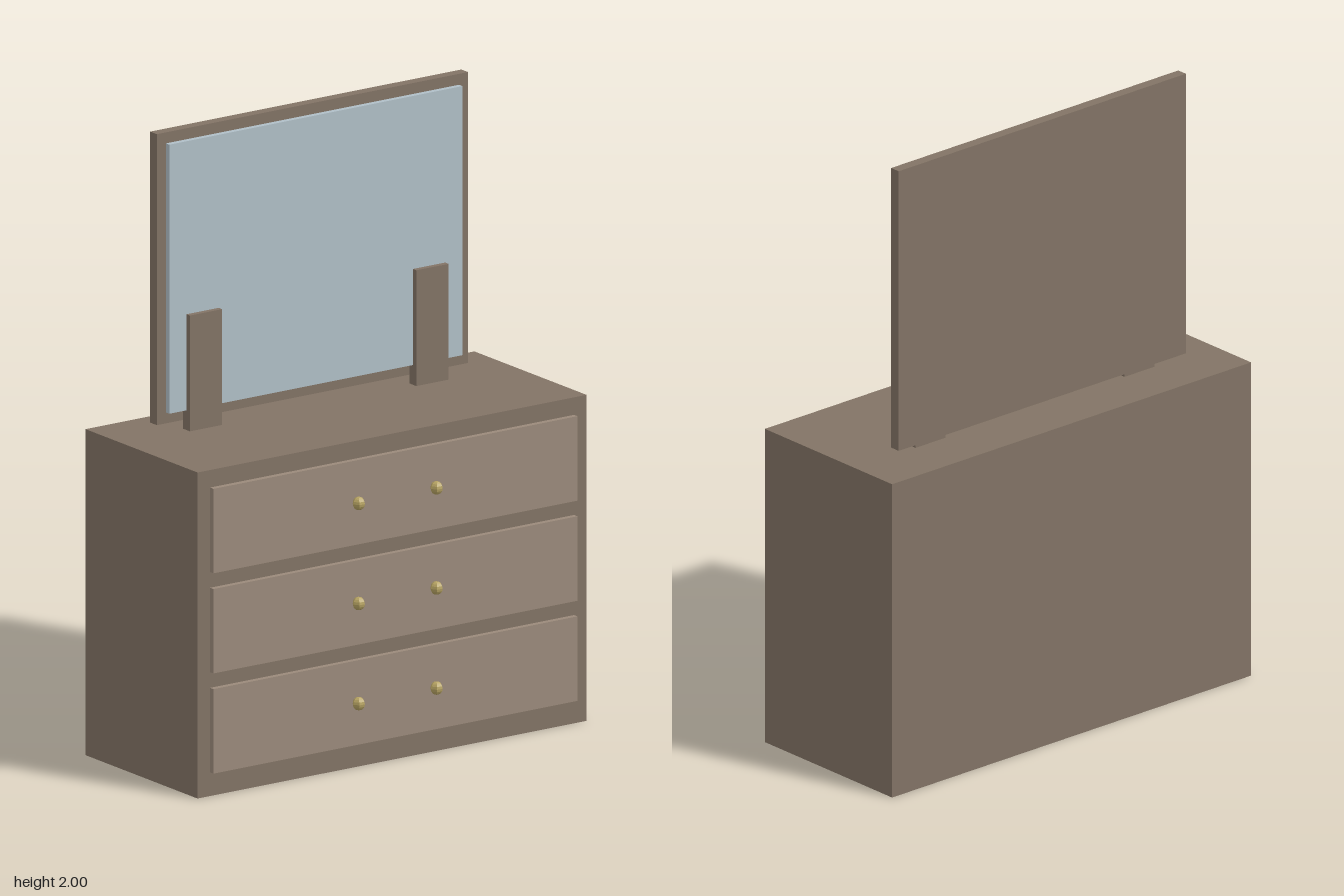
import * as THREE from 'three';

const wood = new THREE.MeshStandardMaterial({ color: 0x827365 });
const drawerWood = new THREE.MeshStandardMaterial({ color: 0x9b8a7b });
const glass = new THREE.MeshStandardMaterial({ color: 0xb0bfc7 });
const brass = new THREE.MeshStandardMaterial({ color: 0xb5a262, flatShading: true });

// Box given by its x, y and z ranges
function box(name, material, [x0, x1], [y0, y1], [z0, z1]) {
  const mesh = new THREE.Mesh(new THREE.BoxGeometry(x1 - x0, y1 - y0, z1 - z0), material);
  mesh.position.set((x0 + x1) / 2, (y0 + y1) / 2, (z0 + z1) / 2);
  mesh.name = name;
  return mesh;
}

export function createModel() {
  const model = new THREE.Group();
  model.name = 'dresserWithMirror';

  // Cabinet
  model.add(box('cabinet', wood, [-0.735, 0.735], [0, 1.042], [-0.32, 0.27]));

  // Three drawers, each with two knobs
  const knobGeometry = new THREE.SphereGeometry(0.021, 6, 8);
  for (let i = 0; i < 3; i++) {
    const y = 0.211 + i * 0.32;
    const drawer = new THREE.Group();
    drawer.name = `drawer${i + 1}`;
    drawer.add(box('drawerFront', drawerWood, [-0.688, 0.688], [y - 0.135, y + 0.135], [0.26, 0.288]));
    for (const side of [-1, 1]) {
      const knob = new THREE.Mesh(knobGeometry, brass);
      knob.name = side > 0 ? 'leftKnob' : 'rightKnob';
      knob.position.set(side * 0.147, y, 0.299);
      drawer.add(knob);
    }
    model.add(drawer);
  }

  // Mirror: backing panel, glass and the two front supports
  const mirror = new THREE.Group();
  mirror.name = 'mirror';
  mirror.add(box('mirrorFrame', wood, [-0.588, 0.588], [1.07, 2], [-0.184, -0.149]));
  mirror.add(box('mirrorGlass', glass, [-0.554, 0.554], [1.105, 1.965], [-0.155, -0.131]));
  for (const side of [-1, 1]) {
    const support = box('', wood, [-0.061, 0.061], [1.042, 1.412], [-0.15, -0.113]);
    support.name = side > 0 ? 'leftSupport' : 'rightSupport';
    support.position.x = side * 0.428;
    mirror.add(support);
  }
  model.add(mirror);

  return model;
}
